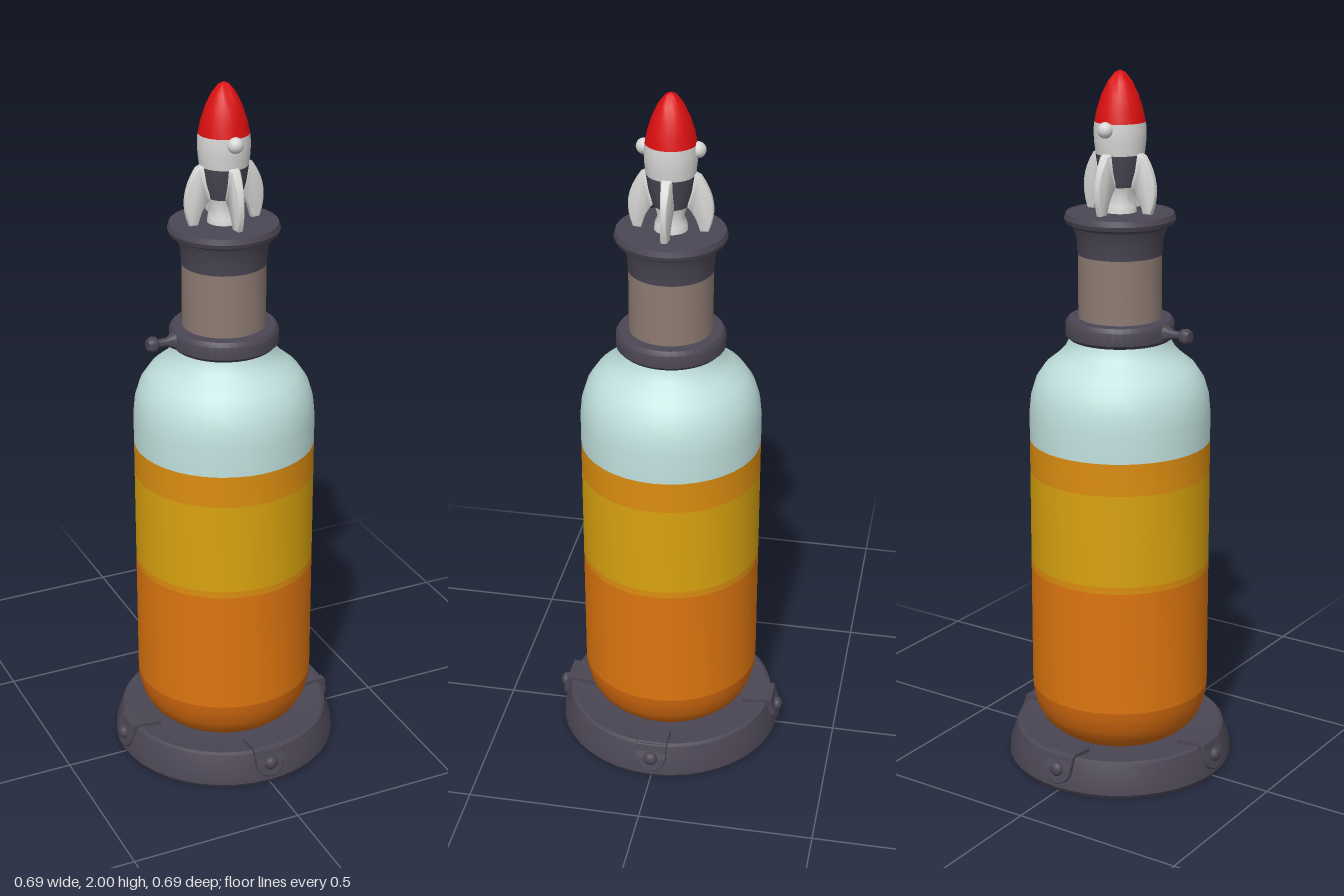
import * as THREE from 'three';
import { toCreasedNormals } from 'three/addons/utils/BufferGeometryUtils.js';

const material = (name, color, side = THREE.FrontSide) => {
  const m = new THREE.MeshStandardMaterial({ color, side });
  m.name = name;
  return m;
};

export function createModel() {
  const model = new THREE.Group();
  model.name = 'rocketBottle';

  const dark = material('dark metal', 0x4b4654);
  const orange = material('orange liquid', 0xdc750f);
  const deepOrange = material('deep orange liquid', 0xcc660e);
  const yellow = material('yellow liquid', 0xd8a20f);
  const amber = material('amber liquid', 0xdb8d10);
  const glass = material('pale glass', 0xc0e0dd);
  const cork = material('brown cork', 0x8d7a72);
  const white = material('rocket white', 0xd6d6d4);
  const red = material('rocket red', 0xdc0f10);

  const add = (name, geometry, mat, parent = model) => {
    const mesh = new THREE.Mesh(geometry, mat);
    mesh.name = name;
    parent.add(mesh);
    return mesh;
  };
  // Turned part from [radius, height] pairs, listed bottom to top
  const turn = (name, points, mat, parent = model, crease = 0.6, segments = 40) => {
    const g = new THREE.LatheGeometry(points.map(([r, y]) => new THREE.Vector2(r, y)), segments);
    return add(name, toCreasedNormals(g, crease), mat, parent);
  };

  // Base dish
  turn('base', [[0, 0], [0.318, 0], [0.326, 0.012], [0.322, 0.045], [0.303, 0.098],
    [0.294, 0.103], [0.255, 0.096], [0.2, 0.09], [0, 0.09]], dark);

  // Four straps, each with a rounded tab and a bolt
  const strapShape = new THREE.Shape([[0.225, 0.08], [0.31, 0.06], [0.326, 0.07], [0.312, 0.106],
    [0.3, 0.112], [0.225, 0.105]].map(([x, y]) => new THREE.Vector2(x, y)));
  const strapGeo = new THREE.ExtrudeGeometry(strapShape, { depth: 0.086, bevelEnabled: false });
  strapGeo.translate(0, 0, -0.043);
  const tabShape = new THREE.Shape();
  tabShape.moveTo(0.043, 0.036);
  tabShape.lineTo(-0.043, 0.036);
  tabShape.lineTo(-0.04, -0.005);
  tabShape.absarc(0, -0.005, 0.04, Math.PI, Math.PI * 2, false);
  const tabGeo = new THREE.ExtrudeGeometry(tabShape, {
    depth: 0.012, bevelSize: 0.003, bevelThickness: 0.003, bevelSegments: 1, curveSegments: 10 });
  for (let i = 0; i < 4; i++) {
    const strap = new THREE.Group();
    strap.name = 'baseStrap';
    strap.rotation.y = i * Math.PI / 2;
    add('strapTop', strapGeo, dark, strap);
    const tab = add('strapTab', tabGeo, dark, strap);
    tab.rotation.set(0, Math.PI / 2, 0.25);
    tab.rotation.order = 'ZYX';
    tab.position.set(0.308, 0.07, 0);
    const bolt = add('bolt', new THREE.SphereGeometry(0.021, 12, 8), dark, strap);
    bolt.scale.x = 0.75;
    bolt.position.set(0.327, 0.07, 0);
    model.add(strap);
  }

  // Layered liquid
  turn('liquidBottom', [[0, 0.085], [0.17, 0.088], [0.2, 0.108], [0.225, 0.132],
    [0.243, 0.165], [0.253, 0.205], [0.255, 0.23]], deepOrange, model, 1);
  turn('orangeLayer', [[0.255, 0.23], [0.255, 0.592]], orange);
  turn('lowerAmberLayer', [[0.255, 0.592], [0.255, 0.612]], amber);
  turn('yellowLayer', [[0.255, 0.612], [0.255, 0.878]], yellow);
  turn('upperAmberLayer', [[0.255, 0.878], [0.255, 0.97]], amber);

  // Empty glass above the liquid, with rounded shoulder
  turn('glassShoulder', [[0.255, 0.97], [0.255, 1.05], [0.25, 1.1], [0.236, 1.145], [0.21, 1.183],
    [0.176, 1.21], [0.155, 1.232], [0.143, 1.255], [0.138, 1.275]], glass, model, 1);

  // Collar, cork neck and flared cap
  turn('collar', [[0.1, 1.262], [0.142, 1.262], [0.152, 1.272], [0.152, 1.308],
    [0.144, 1.32], [0.1, 1.322]], dark);
  turn('neck', [[0.116, 1.31], [0.116, 1.505]], cork);
  turn('cap', [[0.1, 1.5], [0.117, 1.5], [0.121, 1.55], [0.132, 1.578], [0.15, 1.588],
    [0.154, 1.6], [0.149, 1.615], [0, 1.617]], dark);

  // Side peg with a knob
  const peg = turn('sidePeg', [[0.027, 0.135], [0.022, 0.155], [0.012, 0.172], [0.011, 0.198],
    [0.02, 0.204], [0.022, 0.218], [0.016, 0.229], [0, 0.23]], dark, model, 0.7, 16);
  peg.rotation.z = Math.PI / 2;
  peg.position.y = 1.293;

  // Rocket hull
  const rocket = new THREE.Group();
  rocket.name = 'rocket';
  model.add(rocket);
  turn('nozzle', [[0.046, 1.615], [0.044, 1.635], [0.036, 1.655], [0.045, 1.69]], white, rocket, 1, 24);
  turn('hullBand', [[0.03, 1.686], [0.049, 1.688], [0.06, 1.73], [0.067, 1.776]], dark, rocket, 0.8, 24);
  turn('hull', [[0.067, 1.776], [0.071, 1.81], [0.072, 1.84], [0.07, 1.862]], white, rocket, 1, 24);
  turn('noseCone', [[0.07, 1.86], [0.063, 1.895], [0.05, 1.935], [0.033, 1.97], [0.015, 1.993],
    [0, 2]], red, rocket, 1, 24);

  // Four swept fins, thinned toward the outer edge
  const fin = new THREE.Shape();
  fin.moveTo(0.048, 1.69);
  fin.quadraticCurveTo(0.072, 1.665, 0.083, 1.621);
  fin.lineTo(0.1, 1.621);
  fin.quadraticCurveTo(0.133, 1.7, 0.078, 1.772);
  fin.lineTo(0.06, 1.78);
  const finGeo = new THREE.ExtrudeGeometry(fin, {
    depth: 0.014, bevelSize: 0.004, bevelThickness: 0.007, bevelSegments: 2, curveSegments: 8 });
  finGeo.translate(0, 0, -0.007);
  const p = finGeo.attributes.position;
  for (let i = 0; i < p.count; i++) {
    const k = THREE.MathUtils.clamp((p.getX(i) - 0.05) / 0.075, 0, 1);
    p.setZ(i, p.getZ(i) * (1.25 - 0.8 * k));
  }
  const smoothFin = toCreasedNormals(finGeo, 0.8);
  for (let i = 0; i < 4; i++) add('fin', smoothFin, white, rocket).rotation.y = i * Math.PI / 2;

  // Round portholes front and back
  for (const s of [1, -1]) {
    add('porthole', new THREE.SphereGeometry(0.022, 14, 10), white, rocket).position.set(0, 1.846, s * 0.072);
  }
  return model;
}
